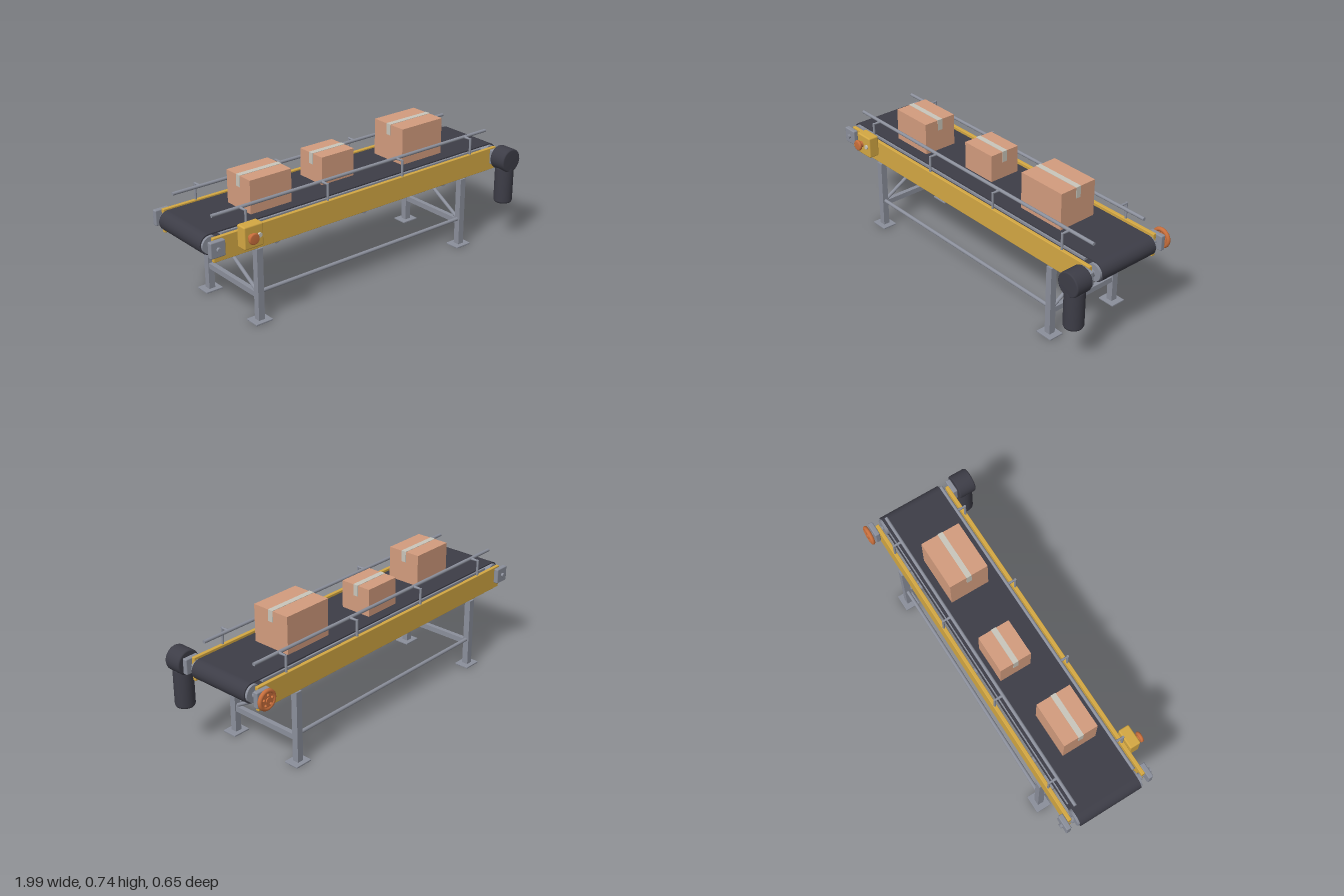
import * as THREE from 'three';
import { RoundedBoxGeometry } from 'three/addons/geometries/RoundedBoxGeometry.js';

const mat = (name, color) => {
  const m = new THREE.MeshStandardMaterial({ color });
  m.name = name;
  return m;
};

export function createModel() {
  const yellow = mat('yellow paint', 0xd4a843);
  const steel = mat('grey steel', 0x8b8f9b);
  const dark = mat('dark rubber', 0x3d3d47);
  const card = mat('cardboard', 0xd39c7e);
  const tape = mat('pale tape', 0xc9c6bb);
  const orange = mat('orange plastic', 0xc96f3c);

  const model = new THREE.Group();
  model.name = 'beltConveyor';
  const CX = -0.01, CZ = -0.035, Y = 0.479, END = 0.937, R = 0.053;

  const add = (name, geo, material, x, y, z) => {
    const mesh = new THREE.Mesh(geo, material);
    mesh.name = name;
    mesh.position.set(x, y, z);
    model.add(mesh);
    return mesh;
  };
  const box = (name, m, w, h, d, x, y, z, r = 0) =>
    add(name, r ? new RoundedBoxGeometry(w, h, d, 2, r) : new THREE.BoxGeometry(w, h, d), m, x, y, z);
  // Round bar between two points
  const bar = (name, m, a, b, r, r2 = r, sides = 20) => {
    const p = new THREE.Vector3(...a), q = new THREE.Vector3(...b);
    const mesh = add(name, new THREE.CylinderGeometry(r2, r, p.distanceTo(q), sides), m, 0, 0, 0);
    mesh.position.copy(p).lerp(q, 0.5);
    mesh.quaternion.setFromUnitVectors(new THREE.Vector3(0, 1, 0), q.sub(p).normalize());
    return mesh;
  };
  // Solid of revolution with softened rims, running from 0 to len
  const softCylinder = (r, len, b) => new THREE.LatheGeometry([
    [0, 0], [r - b, 0], [r - b * 0.3, b * 0.3], [r, b],
    [r, len - b], [r - b * 0.3, len - b * 0.3], [r - b, len], [0, len],
  ].map(([x, y]) => new THREE.Vector2(x, y)), 32);

  // Belt loop
  const stadium = (path, r) => {
    path.absarc(END, 0, r, -Math.PI / 2, Math.PI / 2, false);
    path.absarc(-END, 0, r, Math.PI / 2, Math.PI * 1.5, false);
    path.closePath();
    return path;
  };
  const loop = stadium(new THREE.Shape(), R);
  loop.holes.push(stadium(new THREE.Path(), R - 0.007));
  const beltGeo = new THREE.ExtrudeGeometry(loop, { depth: 0.36, bevelEnabled: false, curveSegments: 16 });
  add('belt', beltGeo, dark, CX, Y, CZ - 0.18);
  box('sliderBed', steel, 1.74, 0.012, 0.37, CX, Y + 0.036, CZ);

  // End drums, shafts and bearing blocks
  for (const s of [-1, 1]) {
    const x = CX + s * END;
    bar('endDrum', steel, [x, Y, CZ - 0.192], [x, Y, CZ + 0.192], R - 0.008, R - 0.008, 32);
    bar('drumShaft', steel, [x, Y, CZ - 0.27], [x, Y, CZ + 0.27], 0.012);
    for (const t of [-1, 1]) {
      box('bearingBlock', steel, 0.085, 0.085, 0.028, x, Y, CZ + t * 0.243, 0.006);
      bar('shaftCollar', steel, [x, Y, CZ + t * 0.199], [x, Y, CZ + t * 0.209], 0.02);
    }
  }

  // Return rollers
  for (const x of [-0.575, CX, 0.555])
    bar('returnRoller', steel, [x, 0.402, CZ - 0.21], [x, 0.402, CZ + 0.21], 0.02);

  // Side frames and guard rails
  for (const t of [-1, 1]) {
    box('sideFrame', yellow, 1.89, 0.127, 0.02, CX, 0.463, CZ + t * 0.218, 0.003);
    const rz = CZ + t * 0.17, pz = CZ + t * 0.218;
    bar('guardRail', steel, [CX - 0.912, 0.614, rz], [CX + 0.912, 0.614, rz], 0.009);
    for (const x of [-0.76, -0.26, 0.24, 0.74]) {
      bar('guardPost', steel, [x, 0.52, pz], [x, 0.617, pz], 0.0065);
      bar('guardArm', steel, [x, 0.613, pz], [x, 0.613, rz], 0.005, 0.008);
    }
  }

  // Stand
  for (const s of [-1, 1]) {
    const x = CX + s * 0.688;
    for (const t of [-1, 1]) {
      const z = CZ + t * 0.22;
      box('leg', steel, 0.036, 0.392, 0.036, x, 0.204, z);
      box('footPlate', steel, 0.1, 0.009, 0.085, x, 0.0045, z, 0.002);
    }
    box('topCrossbeam', steel, 0.04, 0.022, 0.42, x, 0.409, CZ);
    box('lowerCrossbar', steel, 0.026, 0.03, 0.42, x, 0.142, CZ);
    bar('diagonalBrace', steel, [x, 0.155, CZ + 0.208], [x, 0.4, CZ - 0.21], 0.01);
  }
  for (const t of [-1, 1])
    bar('longStretcher', steel, [CX - 0.688, 0.16, CZ + t * 0.22], [CX + 0.688, 0.16, CZ + t * 0.22], 0.01);

  // Drive motor
  const mx = CX + END;
  add('gearbox', softCylinder(0.067, 0.1, 0.008), dark, mx, Y + 0.002, 0.224).rotation.x = Math.PI / 2;
  add('motor', softCylinder(0.052, 0.22, 0.016), dark, mx, 0.224, 0.274);

  // Handwheel with a rounded rim and finger holes
  const disc = new THREE.Shape().absarc(0, 0, 0.05, 0, Math.PI * 2, false);
  for (let i = 0; i < 5; i++) {
    const a = Math.PI / 2 + i * Math.PI * 0.4;
    disc.holes.push(new THREE.Path().absarc(Math.cos(a) * 0.028, Math.sin(a) * 0.028, 0.007, 0, Math.PI * 2, true));
  }
  const discGeo = new THREE.ExtrudeGeometry(disc, { depth: 0.014, bevelEnabled: false, curveSegments: 16 });
  add('handwheelDisc', discGeo, orange, mx, Y, -0.319);
  add('handwheelRim', new THREE.TorusGeometry(0.045, 0.011, 12, 32), orange, mx, Y, -0.312);
  bar('handwheelHub', orange, [mx, Y, -0.298], [mx, Y, -0.325], 0.014);

  // Control box with stop button and indicator
  box('controlBox', yellow, 0.112, 0.12, 0.062, -0.765, 0.504, 0.224, 0.008);
  bar('buttonStem', orange, [-0.783, 0.506, 0.25], [-0.783, 0.506, 0.272], 0.018);
  add('stopButton', softCylinder(0.03, 0.018, 0.007), orange, -0.783, 0.506, 0.27).rotation.x = Math.PI / 2;
  bar('startButton', tape, [-0.734, 0.506, 0.25], [-0.734, 0.506, 0.264], 0.012);

  // Cartons with tape over the top and down both ends: x0, x1, z0, z1, top
  const base = Y + R;
  for (const [x0, x1, z0, z1, top] of [
    [-0.665, -0.415, -0.107, 0.088, 0.709],
    [-0.167, 0.044, -0.16, 0.02, 0.683],
    [0.335, 0.62, -0.147, 0.077, 0.734],
  ]) {
    const x = (x0 + x1) / 2, z = (z0 + z1) / 2, w = x1 - x0;
    box('carton', card, w, top - base, z1 - z0, x, (top + base) / 2, z);
    box('tapeTop', tape, w + 0.004, 0.002, 0.03, x, top + 0.001, z);
    for (const s of [-1, 1])
      box('tapeEnd', tape, 0.002, 0.06, 0.03, x + s * (w / 2 + 0.001), top - 0.03, z);
  }
  return model;
}
